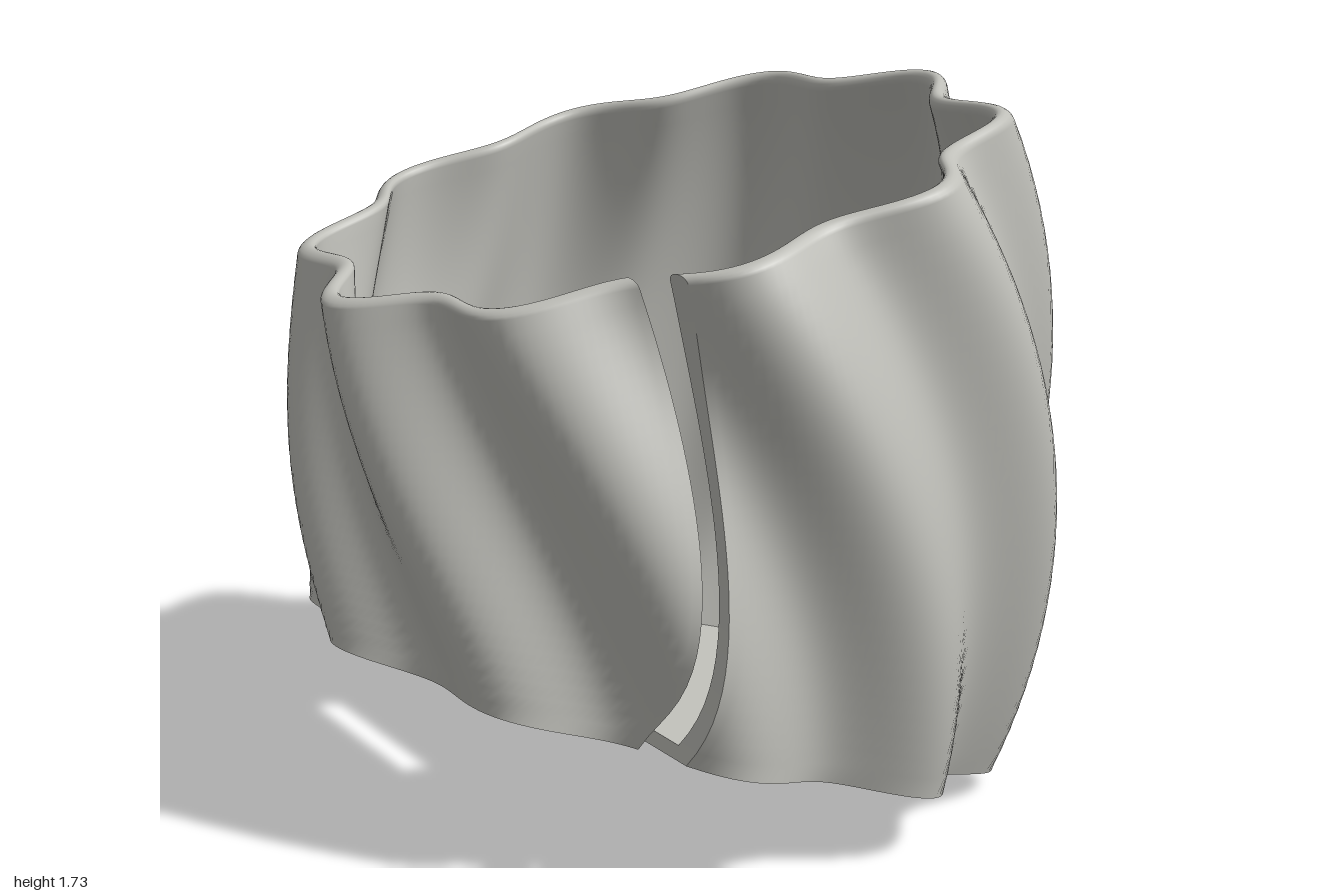
import * as THREE from 'three';

const RADIUS = 2.475;            // distance from the sweep axis to the body's centre line
const HALF_ANGLE = Math.PI / 12; // the sections tilt 15 degrees each way
const MID_Y = 0.866;
const LOBES = 10, LOBE_DEPTH = 0.05;
const WALL = 0.048, FLOOR_T = -0.94, RIM_T = 0.965;
const SLOT = { left: -0.425, right: -0.36, back: -0.61 };
const COLUMNS = 260, ROWS = 28;

// Point in a section: t runs -1 (base) to 1 (rim), inset moves inward
function section(theta, t, inset) {
  const bulge = 1 - t * t;
  const lobe = -LOBE_DEPTH * Math.cos(LOBES * theta - t * Math.PI) - inset;
  return [
    (0.82 + 0.08 * bulge + lobe) * Math.cos(theta),
    (0.885 + 0.065 * bulge + lobe) * Math.sin(theta),
  ];
}

// Tilt a section point around the sweep axis
function place(x, z, t) {
  const r = RADIUS + x, a = t * HALF_ANGLE;
  return [r * Math.cos(a) - RADIUS, MID_Y + r * Math.sin(a), z];
}

// Angle at which the front of a section crosses a given x
function angleAt(x, t, inset) {
  let lo = Math.PI / 2, hi = Math.PI * 0.85;
  for (let k = 0; k < 40; k++) {
    const mid = (lo + hi) / 2;
    if (section(mid, t, inset)[0] > x) lo = mid; else hi = mid;
  }
  return (lo + hi) / 2;
}

// Section outline from the slot's right edge all the way round to its left edge
function outline(t, inset) {
  const start = angleAt(SLOT.right, t, inset);
  const end = angleAt(SLOT.left, t, inset) - Math.PI * 2;
  return Array.from({ length: COLUMNS + 1 }, (_, i) =>
    section(start + (end - start) * i / COLUMNS, t, inset));
}

// Surface through rows of points
function grid(rows) {
  const n = rows[0].length, index = [];
  for (let i = 0; i < rows.length - 1; i++) {
    for (let j = 0; j < n - 1; j++) {
      const a = i * n + j, b = a + n;
      index.push(a, b, b + 1, a, b + 1, a + 1);
    }
  }
  const g = new THREE.BufferGeometry();
  g.setAttribute('position', new THREE.Float32BufferAttribute(rows.flat(2), 3));
  g.setIndex(index);
  g.computeVertexNormals();
  return g;
}

// Flat plate filling an outline, notched by the slot
function plate(t, inset, faceUp) {
  const pts = outline(t, inset).concat([[SLOT.left, SLOT.back], [SLOT.right, SLOT.back]]);
  const g = new THREE.ShapeGeometry(new THREE.Shape(pts.map(p => new THREE.Vector2(...p))));
  const pos = g.attributes.position;
  for (let i = 0; i < pos.count; i++) pos.setXYZ(i, ...place(pos.getX(i), pos.getY(i), t));
  if (faceUp) g.index.array.reverse();
  g.computeVertexNormals();
  return g;
}

export function createModel() {
  const group = new THREE.Group();
  const clay = new THREE.MeshStandardMaterial({ color: 0xbfbfb9 });
  clay.name = 'warm grey';
  const add = (name, geometry) => {
    const mesh = new THREE.Mesh(geometry, clay);
    mesh.name = name;
    group.add(mesh);
  };

  // Wall profile: up the outside, over the rounded rim, down the inside
  const profile = [];
  for (let j = 0; j < ROWS; j++) profile.push([-1 + (RIM_T + 1) * j / ROWS, 0]);
  for (let k = 0; k <= 9; k++) {
    const a = Math.PI * k / 9;
    profile.push([RIM_T + (1 - RIM_T) * Math.sin(a), WALL / 2 * (1 - Math.cos(a))]);
  }
  for (let j = ROWS - 1; j >= 0; j--) profile.push([FLOOR_T + (RIM_T - FLOOR_T) * j / ROWS, WALL]);

  // Twisted, lobed wall
  const rings = profile.map(([t, inset]) => outline(t, inset).map(([x, z]) => place(x, z, t)));
  const columns = rings[0].map((_, i) => rings.map(ring => ring[i]));
  add('wall', grid(columns));

  // Underside and inner floor
  add('underside', plate(-1, 0, false));
  add('floor', plate(FLOOR_T, WALL, true));

  // Cut faces of the slot through the wall and the floor
  const half = profile.length / 2;
  const slotBack = x => [place(x, SLOT.back, -1), place(x, SLOT.back, FLOOR_T)];
  const sides = [['Right', columns[0], SLOT.right], ['Left', columns[COLUMNS], SLOT.left]];
  for (const [side, column, x] of sides) {
    const outer = column.slice(0, half);
    const inner = column.slice(half).reverse();
    const front = [outer[0], inner[0]];
    const right = side === 'Right';
    add('slotWall' + side, grid(right ? [inner, outer] : [outer, inner]));
    add('slotFloor' + side, grid(right ? [slotBack(x), front] : [front, slotBack(x)]));
  }
  add('slotEnd', grid([slotBack(SLOT.left), slotBack(SLOT.right)]));

  return group;
}
